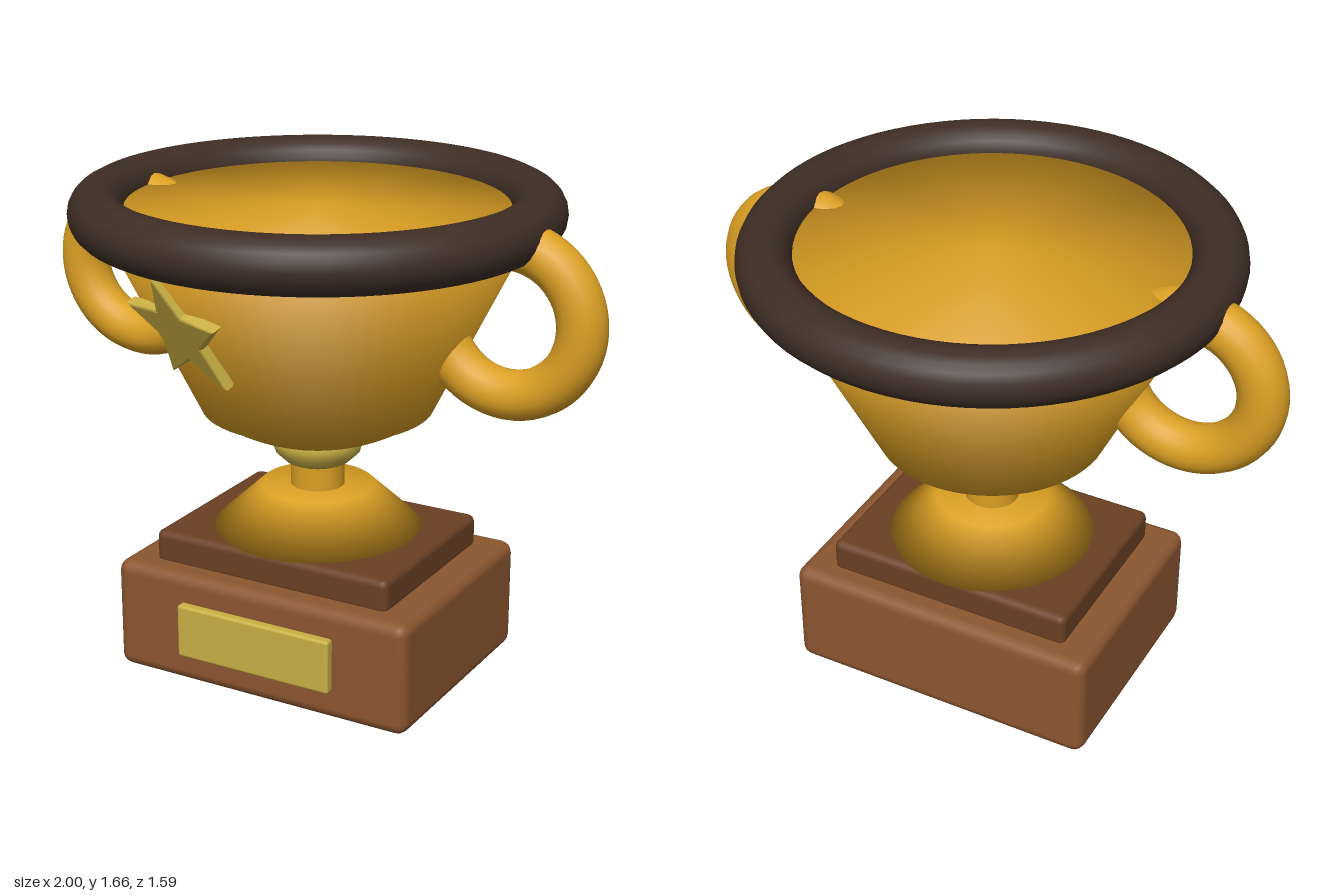
import * as THREE from 'three';
import { RoundedBoxGeometry } from 'three/addons/geometries/RoundedBoxGeometry.js';

const material = (name, color) => {
  const m = new THREE.MeshStandardMaterial({ color });
  m.name = name;
  return m;
};

export function createModel() {
  const gold = material('gold', 0xdca024);
  const brass = material('pale brass', 0xcab045);
  const wood = material('brown wood', 0x8b5630);
  const darkWood = material('dark wood', 0x6b4023);
  const rimBrown = material('rim brown', 0x3e2d24);

  const model = new THREE.Group();
  model.name = 'trophy';

  const add = (name, geometry, mat, x = 0, y = 0, z = 0) => {
    const mesh = new THREE.Mesh(geometry, mat);
    mesh.name = name;
    mesh.position.set(x, y, z);
    model.add(mesh);
    return mesh;
  };
  const lathe = (points) =>
    new THREE.LatheGeometry(points.map(([r, y]) => new THREE.Vector2(r, y)), 64);

  // Stepped wooden plinth with a name plate
  add('plinth', new RoundedBoxGeometry(1.09, 0.385, 0.82, 2, 0.04), wood, 0, 0.1925, 0);
  add('plinthStep', new RoundedBoxGeometry(0.87, 0.12, 0.66, 2, 0.025), darkWood, 0, 0.427, 0);
  add('namePlate', new RoundedBoxGeometry(0.57, 0.185, 0.05, 2, 0.01), brass, 0, 0.197, 0.415);

  // Foot, stem and knob
  add('foot', lathe([[0, 0.485], [0.347, 0.485], [0.19, 0.632], [0, 0.632]]), gold);
  add('stem', new THREE.CylinderGeometry(0.09, 0.09, 0.14, 32), gold, 0, 0.68, 0);
  add('knob', new THREE.SphereGeometry(0.155, 24, 8).scale(1, 0.1 / 0.155, 1), brass, 0, 0.79, 0);

  // Rounded underside of the cup: a shallow spherical cap
  const capRadius = 0.63;
  const cap = [];
  for (let i = 0; i <= 12; i++) {
    const a = (i / 12) * Math.asin(0.37 / capRadius);
    cap.push([capRadius * Math.sin(a), 0.785 + capRadius * (1 - Math.cos(a))]);
  }
  add('cupUnderside', lathe(cap), gold);

  // Flared cup, filled to just below the top of the rim
  add('cup', lathe([[0, 0.905], [0.382, 0.905], [0.717, 1.586], [0, 1.586]]), gold);
  add('rim', new THREE.TorusGeometry(0.705, 0.09, 20, 80).rotateX(Math.PI / 2), rimBrown, 0, 1.57, 0);

  // Ring handles sunk into the cup on both sides
  for (const side of [1, -1]) {
    add(side > 0 ? 'leftHandle' : 'rightHandle',
      new THREE.TorusGeometry(0.24, 0.08, 20, 56), gold, side * 0.68, 1.297, 0);
  }

  // Bevelled star lying against the sloping wall
  const outline = [];
  for (let i = 0; i < 10; i++) {
    const r = i % 2 ? 0.103 : 0.228;
    const a = Math.PI / 2 + (i * Math.PI) / 5;
    outline.push(new THREE.Vector2(r * Math.cos(a), r * Math.sin(a)));
  }
  const starGeometry = new THREE.ExtrudeGeometry(new THREE.Shape(outline), {
    depth: 0.02, bevelEnabled: true, bevelThickness: 0.01, bevelSize: 0.01,
    bevelOffset: -0.01, bevelSegments: 2,
  }).translate(0, 0, -0.01);
  const star = add('star', starGeometry, brass, -0.173, 1.273, 0.537);
  star.rotation.set(0.46, -0.33, 0, 'YXZ');

  return model;
}
